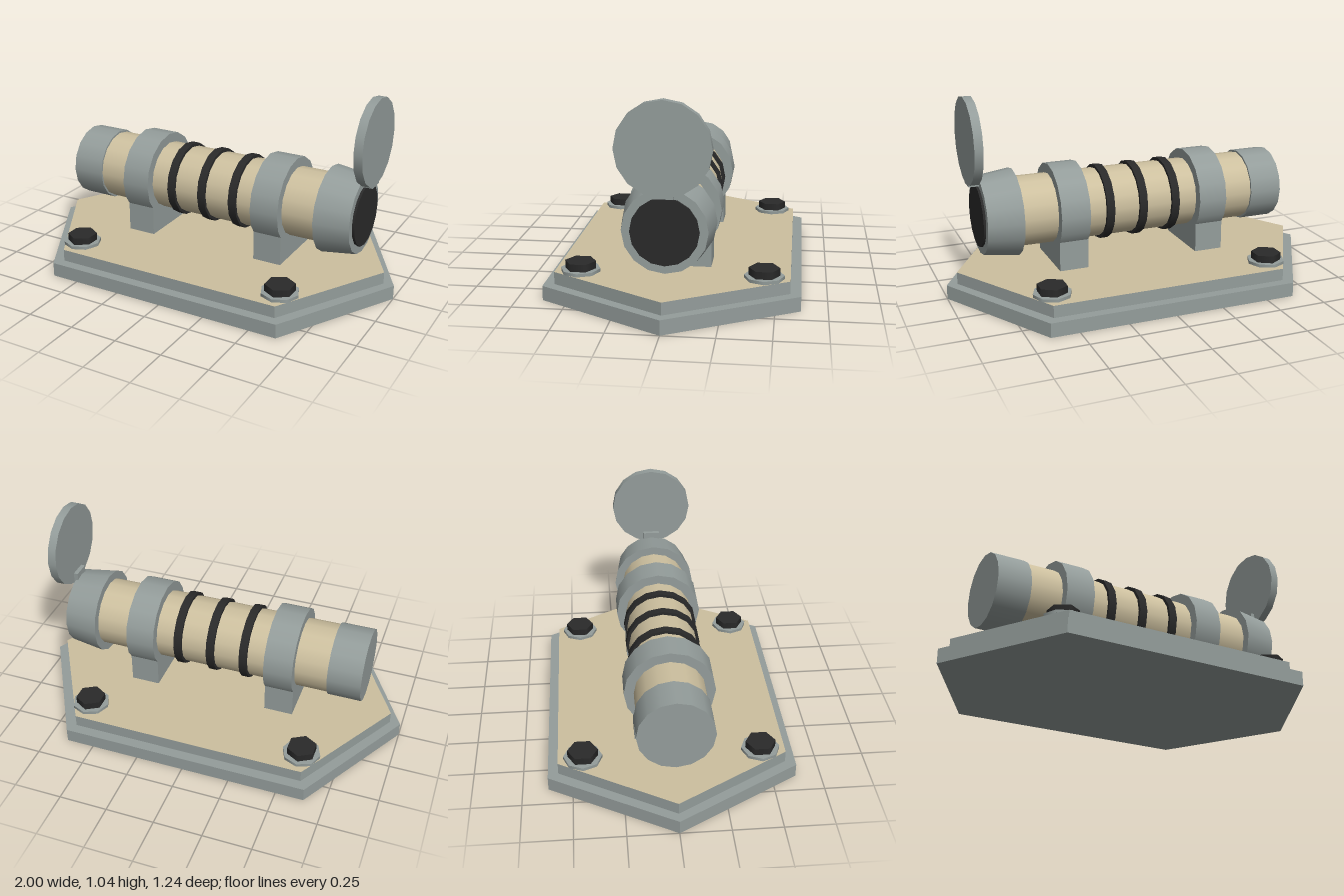
import * as THREE from 'three';

const AXIS_Y = 0.425; // height of the tube axis

export function createModel() {
  const model = new THREE.Group();
  model.name = 'mountedTube';

  const makeMat = (name, color) => {
    const m = new THREE.MeshStandardMaterial({ color });
    m.name = name;
    return m;
  };
  const grey = makeMat('grey metal', 0x949d9b);
  const tan = makeMat('tan paint', 0xcdc09f);
  const black = makeMat('black rubber', 0x2a2a2a);

  const add = (name, geometry, material, x = 0, y = 0, z = 0, parent = model) => {
    const mesh = new THREE.Mesh(geometry, material);
    mesh.name = name;
    mesh.position.set(x, y, z);
    parent.add(mesh);
    return mesh;
  };

  // Round part lying along x, from x0 (radius r0) to x1 (radius r1)
  const barrel = (name, x0, x1, r0, r1, material, y = AXIS_Y) => {
    const g = new THREE.CylinderGeometry(r1, r0, x1 - x0, 16);
    g.rotateZ(-Math.PI / 2);
    return add(name, g, material, (x0 + x1) / 2, y, 0);
  };

  // Six-sided plate with points at +x and -x
  const plate = (name, tip, cornerX, cornerZ, y0, y1, materials) => {
    const shape = new THREE.Shape([
      [tip, 0], [cornerX, cornerZ], [-cornerX, cornerZ],
      [-tip, 0], [-cornerX, -cornerZ], [cornerX, -cornerZ],
    ].map(([x, z]) => new THREE.Vector2(x, z)));
    const g = new THREE.ExtrudeGeometry(shape, { depth: y1 - y0, bevelEnabled: false });
    g.rotateX(-Math.PI / 2);
    add(name, g, materials, 0, y0, 0);
  };

  // Stepped base, the upper step painted on top
  plate('basePlate', 1, 0.645, 0.622, 0, 0.073, grey);
  plate('deckPlate', 0.945, 0.613, 0.57, 0.073, 0.135, [tan, grey]);

  // Corner bolts with washers
  for (const x of [-0.58, 0.58]) {
    for (const z of [-0.445, 0.445]) {
      const bolt = new THREE.Group();
      bolt.name = 'bolt';
      bolt.position.set(x, 0.135, z);
      add('washer', new THREE.CylinderGeometry(0.097, 0.097, 0.016, 8), grey, 0, 0.008, 0, bolt);
      add('boltHead', new THREE.CylinderGeometry(0.076, 0.076, 0.04, 6), black, 0, 0.033, 0, bolt);
      model.add(bolt);
    }
  }

  // Tube, rear cap and flared front collar
  barrel('tube', -0.7, 0.7, 0.18, 0.18, tan);
  barrel('rearCap', -0.8, -0.625, 0.19, 0.19, grey);
  barrel('frontCollar', 0.64, 0.82, 0.225, 0.2, grey);
  barrel('lens', 0.8, 0.832, 0.16, 0.16, black);

  // Grip rings
  for (const x of [-0.18, 0, 0.18]) barrel('gripRing', x - 0.021, x + 0.021, 0.196, 0.196, black);

  // Clamps on their saddle blocks
  for (const x of [-0.378, 0.378]) {
    barrel('clamp', x - 0.076, x + 0.076, 0.23, 0.23, grey);
    add('saddle', new THREE.BoxGeometry(0.152, 0.155, 0.36), grey, x, 0.2125, 0);
  }

  // Open lid on its hinge
  barrel('lid', 0.83, 0.874, 0.221, 0.221, grey, 0.815);
  add('hinge', new THREE.BoxGeometry(0.065, 0.065, 0.09), grey, 0.84, 0.623, 0);

  return model;
}
